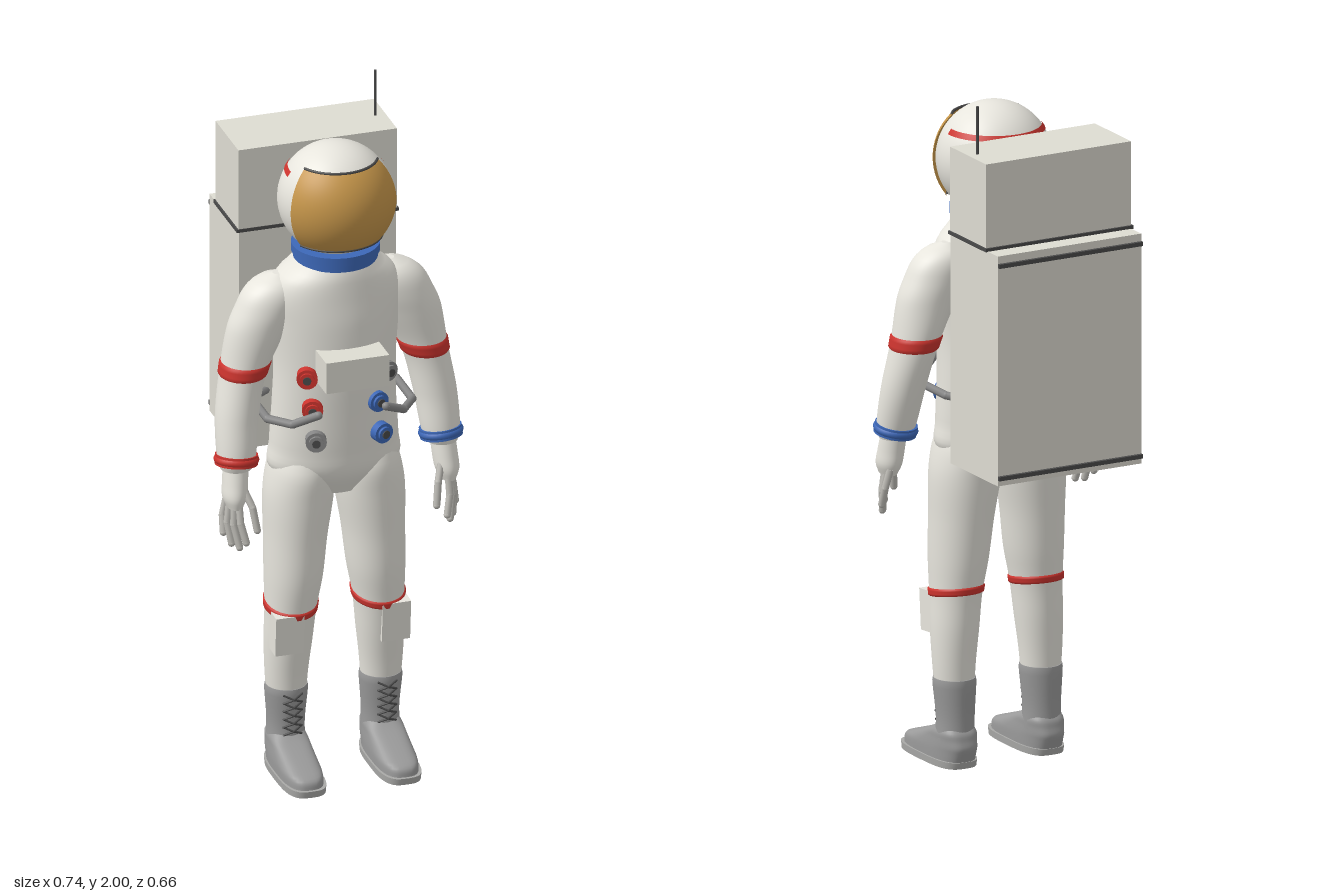
import * as THREE from 'three';

const mat = (name, color, side = THREE.FrontSide) => {
  const m = new THREE.MeshStandardMaterial({ color, side });
  m.name = name;
  return m;
};

// smooth interpolation through rows of [y, x, z, rx, rz] sorted by rising y
function sectionAt(rows, y) {
  let i = 0;
  while (i < rows.length - 2 && y > rows[i + 1][0]) i++;
  const a = rows[i], b = rows[i + 1];
  const h = b[0] - a[0], t = THREE.MathUtils.clamp((y - a[0]) / h, 0, 1);
  const slope = (j, k) => {
    const p = rows[Math.max(j - 1, 0)], q = rows[Math.min(j + 1, rows.length - 1)];
    return (q[k] - p[k]) / (q[0] - p[0]);
  };
  return [1, 2, 3, 4].map(k =>
    a[k] * (2 * t ** 3 - 3 * t * t + 1) + b[k] * (3 * t * t - 2 * t ** 3) +
    h * (slope(i, k) * (t ** 3 - 2 * t * t + t) + slope(i + 1, k) * (t ** 3 - t * t)));
}

// skin over the sections; grow thickens it, tilt slants the rings, power squares them
function loft(rows, { from = rows[0][0], to = rows[rows.length - 1][0], steps = 32, grow = 0, tilt = 0, power = 2 } = {}) {
  const N = 40, pos = [], idx = [];
  const se = v => Math.sign(v) * Math.abs(v) ** (2 / power);
  for (let i = 0; i <= steps; i++) {
    const y = from + (to - from) * i / steps;
    const g = grow && (i === 0 || i === steps) ? -0.002 : grow;
    for (let j = 0; j < N; j++) {
      const a = j / N * Math.PI * 2, yy = y + tilt * Math.sin(a);
      const [x, z, rx, rz] = sectionAt(rows, yy);
      pos.push(x + (rx + g) * se(Math.cos(a)), yy, z + (rz + g) * se(Math.sin(a)));
      if (i < steps) {
        const p = i * N + j, q = i * N + (j + 1) % N;
        idx.push(p, p + N, q, q, p + N, q + N);
      }
    }
  }
  if (!grow) { // end caps with their own vertices
    for (const end of [0, steps]) {
      const base = pos.length / 3, [x, z] = sectionAt(rows, end ? to : from);
      pos.push(...pos.slice(end * N * 3, (end + 1) * N * 3), x, end ? to : from, z);
      for (let j = 0; j < N; j++) {
        const p = base + j, q = base + (j + 1) % N;
        idx.push(base + N, ...(end ? [q, p] : [p, q]));
      }
    }
  }
  const g = new THREE.BufferGeometry();
  g.setAttribute('position', new THREE.Float32BufferAttribute(pos, 3));
  g.setIndex(idx);
  g.computeVertexNormals();
  return g;
}

// horizontal arc bar facing +z
function arcBar(r, tube, arc) {
  return new THREE.TorusGeometry(r, tube, 8, 40, arc).rotateZ(Math.PI / 2 - arc / 2).rotateX(Math.PI / 2);
}

export function createModel() {
  const suit = mat('suitWhite', 0xe8e6de), packMat = mat('packWhite', 0xdedcd2);
  const gold = mat('visorGold', 0xc6964a, THREE.DoubleSide);
  const red = mat('red', 0xcc342e), blue = mat('blue', 0x3d68b8);
  const grey = mat('bootGrey', 0x9a9a9a), soleMat = mat('soleGrey', 0xa9a9a7);
  const hoseMat = mat('hoseGrey', 0x868686), dark = mat('darkTrim', 0x4a4a4a), glove = mat('gloveGrey', 0xbdbbb5);

  const model = new THREE.Group();
  model.name = 'astronaut';
  const add = (name, geo, material, x = 0, y = 0, z = 0) => {
    const m = new THREE.Mesh(geo, material);
    m.name = name;
    m.position.set(x, y, z);
    model.add(m);
    return m;
  };
  const box = (name, material, x0, x1, y0, y1, z0, z1) =>
    add(name, new THREE.BoxGeometry(x1 - x0, y1 - y0, z1 - z0), material, (x0 + x1) / 2, (y0 + y1) / 2, (z0 + z1) / 2);
  const rods = (name, points, r, material, sides = 8) => {
    const v = points.map(p => new THREE.Vector3(...p));
    for (let i = 1; i < v.length; i++) {
      const d = v[i].clone().sub(v[i - 1]), mid = v[i].clone().add(v[i - 1]).multiplyScalar(0.5);
      const m = add(name, new THREE.CylinderGeometry(r, r, d.length(), sides), material, mid.x, mid.y, mid.z);
      m.quaternion.setFromUnitVectors(new THREE.Vector3(0, 1, 0), d.normalize());
      add(name + 'Joint', new THREE.SphereGeometry(r, 10, 8), material, v[i].x, v[i].y, v[i].z);
    }
  };

  // torso
  add('torso', loft([
    [0.86, 0, 0.09, 0.1, 0.08], [0.93, 0, 0.09, 0.188, 0.121], [1.0, 0, 0.092, 0.188, 0.128],
    [1.12, 0, 0.095, 0.18, 0.135], [1.25, 0, 0.1, 0.176, 0.14], [1.4, 0, 0.1, 0.186, 0.143],
    [1.48, 0, 0.1, 0.19, 0.138], [1.53, 0, 0.105, 0.17, 0.13], [1.56, 0, 0.11, 0.135, 0.122], [1.6, 0, 0.11, 0.1, 0.11],
  ], { steps: 48 }), suit);

  // helmet, visor and neck ring
  const HY = 1.755, HZ = 0.11, arc = 2.27;
  add('helmet', new THREE.SphereGeometry(0.165, 48, 32), suit, 0, HY, HZ);
  add('visor', new THREE.SphereGeometry(0.173, 40, 24, Math.PI / 2 - arc / 2, arc, 0.763, 1.5), gold, 0, HY, HZ);
  add('visorTopRim', arcBar(0.119, 0.004, arc), dark, 0, HY + 0.125, HZ);
  add('visorBottomRim', arcBar(0.133, 0.004, arc), dark, 0, HY - 0.11, HZ);
  add('helmetStripe', new THREE.SphereGeometry(0.168, 40, 3, Math.PI * 1.5 - 1.63, 3.26, 0.933, 0.107), red, 0, HY, HZ);
  add('neckRingTop', new THREE.CylinderGeometry(0.126, 0.126, 0.025, 48), blue, 0, 1.607, HZ);
  add('neckRingBase', new THREE.CylinderGeometry(0.12, 0.12, 0.024, 48), blue, 0, 1.585, HZ);

  // life support pack
  box('packLower', packMat, -0.233, 0.233, 0.93, 1.605, -0.32, -0.052);
  box('packUpper', packMat, -0.235, 0.235, 1.61, 1.86, -0.258, -0.052);
  box('packSeam', dark, -0.24, 0.24, 1.604, 1.614, -0.264, -0.05);
  for (const y of [0.953, 1.577]) box('packStrip', dark, -0.233, 0.233, y - 0.006, y + 0.006, -0.33, -0.32);
  add('antenna', new THREE.CylinderGeometry(0.004, 0.004, 0.14, 8), dark, 0.205, 1.93, -0.155);

  // chest unit and hose connectors
  box('chestUnit', packMat, -0.095, 0.092, 1.245, 1.34, 0.2, 0.317);
  const knobs = [[-0.115, 1.255, red], [-0.1, 1.155, red], [-0.09, 1.055, hoseMat],
    [0.112, 1.245, hoseMat], [0.085, 1.155, blue], [0.098, 1.055, blue]];
  for (const [x, y, m] of knobs) {
    const g = new THREE.Group();
    g.name = 'connector';
    const parts = [[0.03, 0.05, 0, m], [0.021, 0.012, 0.027, m], [0.012, 0.006, 0.034, dark]];
    for (const [r, h, z, pm] of parts) {
      const c = new THREE.Mesh(new THREE.CylinderGeometry(r, r, h, 20).rotateX(Math.PI / 2), pm);
      c.name = 'connectorRing';
      c.position.z = z;
      g.add(c);
    }
    g.position.set(x, y, 0.207);
    g.rotation.y = x * 3;
    model.add(g);
  }

  for (const s of [-1, 1]) {
    const side = rows => rows.map(([y, x, ...rest]) => [y, x * s, ...rest]);
    const pts = list => list.map(([x, y, z]) => [x * s, y, z]);

    // hose from the pack to the chest
    rods('hose', pts([[0.15, 1.1, -0.06], [0.215, 1.112, 0.005], [0.215, 1.112, 0.15],
      [0.165, 1.12, 0.225], [0.1, 1.155, 0.262]]), 0.012, hoseMat);

    // arm, band and cuff
    const arm = side([[0.97, 0.305, 0.14, 0.045, 0.045], [1.0, 0.303, 0.137, 0.055, 0.056], [1.12, 0.293, 0.112, 0.062, 0.066],
      [1.25, 0.268, 0.093, 0.067, 0.073], [1.38, 0.226, 0.094, 0.088, 0.077], [1.44, 0.2, 0.094, 0.09, 0.077],
      [1.49, 0.18, 0.092, 0.083, 0.07], [1.52, 0.17, 0.09, 0.055, 0.05], [1.535, 0.165, 0.09, 0.015, 0.015]]);
    add('arm', loft(arm, { steps: 44 }), suit);
    add('armBand', loft(arm, { from: 1.235, to: 1.28, steps: 6, grow: 0.004 }), red);
    const cuff = add('cuff', new THREE.CylinderGeometry(0.061, 0.061, 0.03, 36), s < 0 ? red : blue, 0.303 * s, 0.995, 0.138);
    cuff.rotation.set(-0.15, 0, 0.08 * s);
    const roll = add('cuffRoll', new THREE.TorusGeometry(0.052, 0.013, 10, 36).rotateX(Math.PI / 2), cuff.material, 0.303 * s, 0.995, 0.138);
    roll.rotation.copy(cuff.rotation);

    // hand
    add('palm', loft(side([[0.86, 0.316, 0.16, 0.022, 0.036], [0.89, 0.315, 0.156, 0.034, 0.046],
      [0.93, 0.311, 0.15, 0.036, 0.044], [0.99, 0.306, 0.14, 0.036, 0.038]]), { steps: 14 }), suit);
    const fingers = [
      [[0.328, 0.88, 0.125], [0.342, 0.825, 0.13], [0.344, 0.775, 0.145]],
      [[0.325, 0.88, 0.145], [0.336, 0.81, 0.155], [0.328, 0.75, 0.17]],
      [[0.318, 0.88, 0.165], [0.324, 0.81, 0.178], [0.312, 0.745, 0.195]],
      [[0.31, 0.88, 0.182], [0.31, 0.82, 0.198], [0.298, 0.765, 0.212]],
      [[0.295, 0.92, 0.17], [0.275, 0.865, 0.2], [0.266, 0.8, 0.214]],
    ];
    for (const f of fingers) rods('finger', pts(f), 0.0105, glove);

    // leg, knee band and shin pocket
    const leg = side([[0.22, 0.14, 0.09, 0.056, 0.056], [0.3, 0.14, 0.092, 0.062, 0.062], [0.4, 0.136, 0.096, 0.069, 0.073],
      [0.5, 0.13, 0.1, 0.073, 0.082], [0.6, 0.122, 0.1, 0.083, 0.095], [0.72, 0.115, 0.096, 0.09, 0.103],
      [0.85, 0.105, 0.092, 0.1, 0.113], [0.93, 0.098, 0.09, 0.094, 0.116], [0.98, 0.095, 0.09, 0.08, 0.1]]);
    add('leg', loft(leg, { steps: 44 }), suit);
    add('kneeBand', loft(leg, { from: 0.494, to: 0.52, steps: 6, grow: 0.004, tilt: -0.014 }), red);
    const pocket = box('shinPocket', suit, 0.158 - 0.042, 0.158 + 0.042, 0.382, 0.502, 0.115, 0.18);
    pocket.position.x *= s;
    pocket.rotation.x = 0.08;

    // boot
    add('bootShaft', loft(side([[0.07, 0.141, 0.085, 0.056, 0.06], [0.14, 0.14, 0.085, 0.054, 0.058],
      [0.245, 0.14, 0.09, 0.062, 0.064], [0.256, 0.14, 0.09, 0.06, 0.062]]), { steps: 16 }), grey);
    add('bootFoot', loft(side([[0.015, 0.141, 0.173, 0.059, 0.15], [0.045, 0.141, 0.163, 0.059, 0.15],
      [0.06, 0.141, 0.142, 0.058, 0.132], [0.08, 0.141, 0.116, 0.056, 0.1], [0.1, 0.141, 0.092, 0.054, 0.07],
      [0.115, 0.141, 0.085, 0.045, 0.05]]), { steps: 18, power: 2.9 }), grey);
    add('sole', loft(side([[0, 0.141, 0.176, 0.063, 0.152], [0.02, 0.141, 0.175, 0.064, 0.156]]), { steps: 2, power: 3.2 }), soleMat);

    // crossed laces
    for (let i = 0; i < 5; i++) {
      const y = 0.118 + i * 0.025, z = 0.155 + i * 0.001;
      for (const d of [-1, 1])
        rods('lace', [[0.14 * s - 0.027 * d, y, z - 0.006], [0.14 * s, y + 0.0125, z + 0.005], [0.14 * s + 0.027 * d, y + 0.025, z - 0.006]], 0.0032, dark, 6);
    }
  }
  return model;
}
